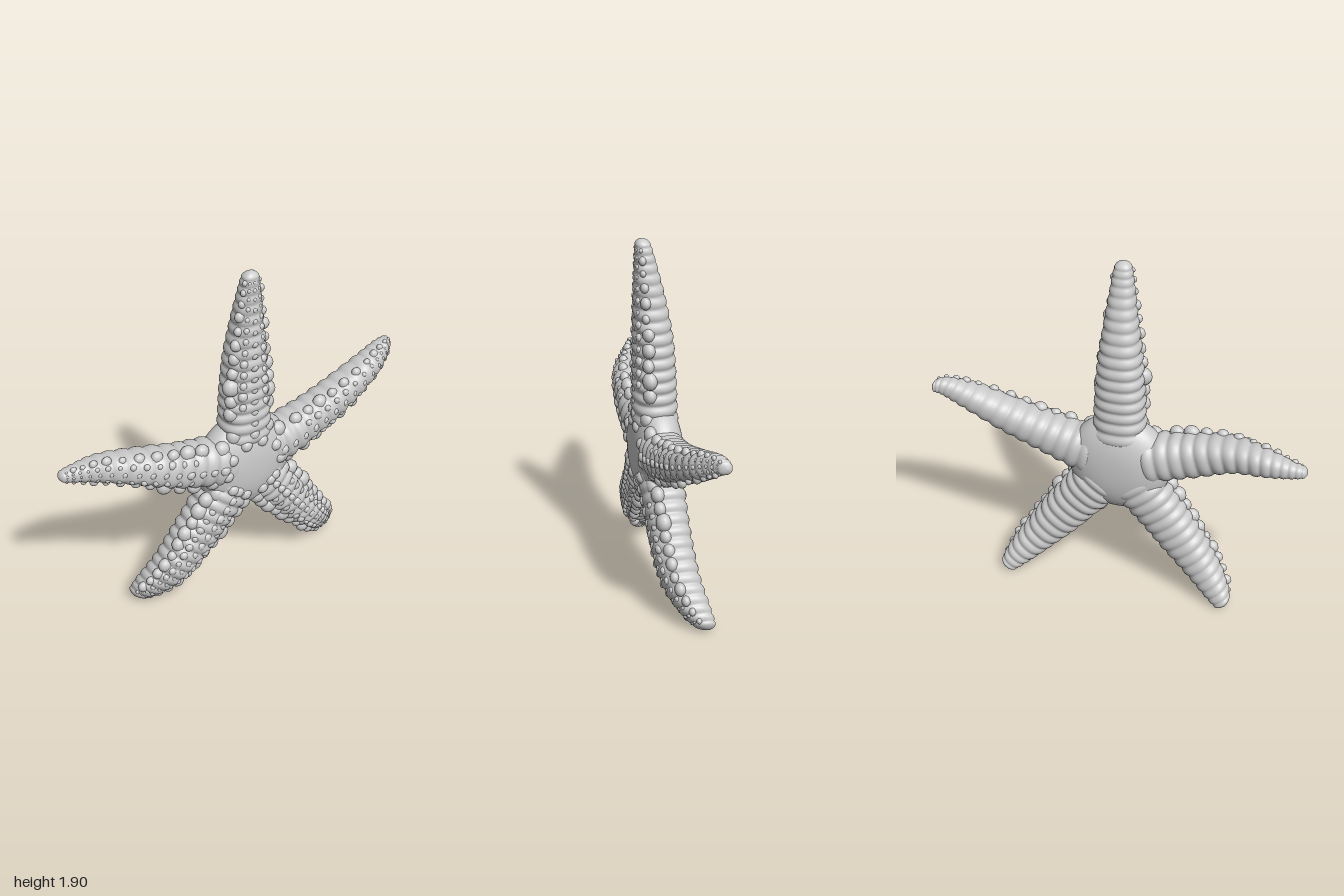
import * as THREE from 'three';
import { mergeGeometries } from 'three/addons/utils/BufferGeometryUtils.js';

const material = new THREE.MeshStandardMaterial({ color: 0xcccccc });
const CENTRE_Y = 0.78;

// Stations along each arm: x, y, z, half width, half depth
const lowerArm = side => [
  [0, 0.78, 0, 0.15, 0.12], [0.11 * side, 0.64, 0.005, 0.14, 0.12],
  [0.22 * side, 0.5, 0.005, 0.128, 0.11], [0.33 * side, 0.36, 0, 0.12, 0.105],
  [0.44 * side, 0.225, -0.015, 0.1, 0.1], [0.54 * side, 0.11, -0.06, 0.077, 0.08],
  [0.615 * side, 0.018, -0.115, 0.045, 0.045],
];
const ARMS = {
  topArm: [
    [0, 0.78, 0, 0.15, 0.12], [0, 1.0, 0.01, 0.138, 0.115], [0, 1.2, 0.012, 0.128, 0.11],
    [0, 1.4, 0.018, 0.112, 0.1], [0, 1.6, 0.035, 0.085, 0.08],
    [0, 1.78, 0.055, 0.06, 0.055], [0, 1.908, 0.07, 0.04, 0.035],
  ],
  leftArm: [
    [0, 0.78, 0, 0.15, 0.12], [0.2, 0.82, 0.01, 0.125, 0.12], [0.4, 0.88, 0.01, 0.105, 0.11],
    [0.6, 0.955, 0, 0.09, 0.1], [0.8, 1.045, -0.02, 0.07, 0.08],
    [0.92, 1.1, -0.05, 0.05, 0.052], [0.99, 1.108, -0.08, 0.028, 0.028],
  ],
  rightArm: [
    [0, 0.78, 0, 0.15, 0.12], [-0.2, 0.83, 0.01, 0.128, 0.12], [-0.4, 0.88, 0.01, 0.115, 0.11],
    [-0.6, 0.94, -0.015, 0.09, 0.105], [-0.78, 0.965, -0.075, 0.07, 0.08],
    [-0.91, 0.968, -0.105, 0.045, 0.05], [-1, 0.97, -0.115, 0.025, 0.028],
  ],
  lowerLeftArm: lowerArm(1),
  lowerRightArm: lowerArm(-1),
};

const signedPow = (v, e) => Math.sign(v) * Math.abs(v) ** e;

// Returns surface(t, angle): a ringed, tapering arm; angle PI/2 is the front
function armSurface(stations) {
  const path = new THREE.CatmullRomCurve3(
    stations.map(s => new THREE.Vector3(s[0], s[1], s[2])), false, 'catmullrom');
  const sizes = new THREE.CatmullRomCurve3(
    stations.map(s => new THREE.Vector3(s[3], s[4], 0)), false, 'catmullrom');
  const rings = Math.round(path.getLength() / 0.06);
  return (t, angle) => {
    const p = path.getPoint(t), size = sizes.getPoint(t), dir = path.getTangent(t);
    const side = new THREE.Vector3(-dir.y, dir.x, 0).normalize();
    const ripple = 1.02 - 0.1 * (1 - Math.abs(Math.sin(Math.PI * t * rings)));
    const cap = t > 0.95 ? Math.sqrt(Math.max(0, 1 - ((t - 0.95) / 0.05) ** 2)) : 1;
    const k = ripple * cap;
    p.addScaledVector(side, signedPow(Math.cos(angle), 0.85) * size.x * k);
    p.z += signedPow(Math.sin(angle), 0.85) * size.y * k;
    return p;
  };
}

function armGeometry(surface, rows = 150, cols = 36) {
  const positions = [], index = [];
  for (let i = 0; i <= rows; i++) {
    for (let j = 0; j < cols; j++) {
      positions.push(...surface(i / rows, (j / cols) * Math.PI * 2).toArray());
      if (i === rows) continue;
      const a = i * cols + j, b = i * cols + (j + 1) % cols;
      index.push(a, b, a + cols, b, b + cols, a + cols);
    }
  }
  const geometry = new THREE.BufferGeometry();
  geometry.setAttribute('position', new THREE.Float32BufferAttribute(positions, 3));
  geometry.setIndex(index);
  geometry.computeVertexNormals();
  return geometry;
}

const nodule = (p, r) =>
  new THREE.SphereGeometry(r, 12, 8).scale(1, 1, 0.8).translate(p.x, p.y, p.z);

// Rows of nodules on the front of an arm: big along the edges, small in the middle
function armNodules(surface, stations) {
  const parts = [];
  const addRow = (angle, count, factor, start) => {
    for (let i = 0; i < count; i++) {
      const t = start + (0.93 - start) * (i / (count - 1));
      const station = stations[Math.round(t * (stations.length - 1))];
      const r = station[3] * factor * (1 + 0.15 * Math.sin(i * 2.3 + angle * 5));
      const p = surface(t, angle);
      p.z -= r * 0.45;
      parts.push(nodule(p, r));
    }
  };
  for (const s of [-1, 1]) {
    addRow(Math.PI / 2 + s * 0.95, 11, 0.34, 0.26);
    addRow(Math.PI / 2 + s * 0.45, 13, 0.19, 0.3);
  }
  addRow(Math.PI / 2, 15, 0.2, 0.15);
  return mergeGeometries(parts);
}

// Flattened central disc joining the arms
function discGeometry() {
  const profile = [];
  for (let i = 0; i <= 28; i++) {
    const a = -Math.PI / 2 + (i / 28) * Math.PI;
    const r = 0.275 * Math.max(0, Math.cos(a)) ** 0.85;
    profile.push(new THREE.Vector2(r, 0.13 * signedPow(Math.sin(a), 0.9)));
  }
  return new THREE.LatheGeometry(profile, 60).rotateX(Math.PI / 2).translate(0, CENTRE_Y - 0.01, 0.005);
}

// Larger nodules around the front of the disc, in pairs between the arms
function discNodules() {
  const parts = [];
  for (let i = 0; i < 5; i++) {
    const valley = Math.PI / 2 + (i + 0.5) * Math.PI * 0.4;
    for (const [turn, radius, z, size] of [
      [-0.2, 0.23, 0.07, 0.045], [0.2, 0.23, 0.07, 0.045],
      [-0.33, 0.16, 0.11, 0.033], [0.33, 0.16, 0.11, 0.033],
    ]) {
      const a = valley + turn;
      parts.push(nodule(new THREE.Vector3(
        Math.cos(a) * radius, CENTRE_Y - 0.01 + Math.sin(a) * radius, z), size));
    }
  }
  return mergeGeometries(parts);
}

export function createModel() {
  const model = new THREE.Group();
  model.name = 'starfish';
  const add = (parent, name, geometry) => {
    const mesh = new THREE.Mesh(geometry, material);
    mesh.name = name;
    parent.add(mesh);
  };

  // Central body
  add(model, 'centralDisc', discGeometry());
  add(model, 'discNodules', discNodules());

  // Five arms
  for (const [name, stations] of Object.entries(ARMS)) {
    const arm = new THREE.Group();
    arm.name = name;
    const surface = armSurface(stations);
    add(arm, name + 'Body', armGeometry(surface));
    add(arm, name + 'Nodules', armNodules(surface, stations));
    model.add(arm);
  }
  return model;
}
